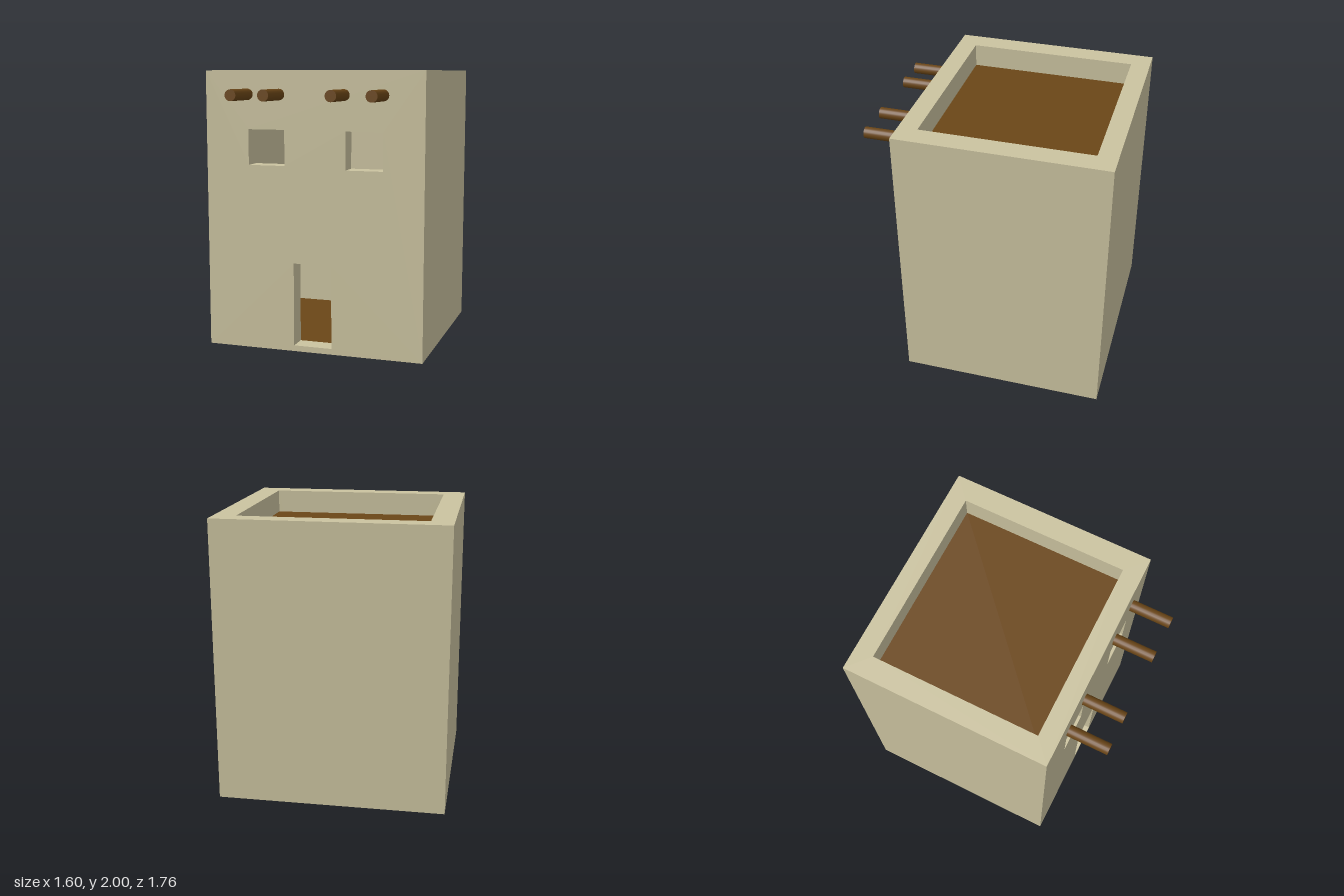
import * as THREE from 'three';
import { mergeGeometries } from 'three/addons/utils/BufferGeometryUtils.js';

const X = 0.8, BACK = -0.88, FRONT = 0.582, TOP = 2; // outer shell
const IX = 0.645, IBACK = -0.744, IFRONT = 0.446; // inner faces of the walls
const FLOOR = 0.04, ROOF = 1.835, SLAB = 0.04;
// openings in the front wall: x0, x1, y0, y1
const DOOR = [-0.142, 0.139, 0.042, 0.642];
const WINDOWS = [[-0.477, -0.206, 1.335, 1.588], [0.242, 0.51, 1.318, 1.585]];
const OPENINGS = [DOOR, ...WINDOWS];

// Box between two corners, keeping only the listed sides; inward turns them to face inside
function boxSides(x0, x1, y0, y1, z0, z1, sides, inward = false) {
  const g = new THREE.BoxGeometry(x1 - x0, y1 - y0, z1 - z0);
  g.translate((x0 + x1) / 2, (y0 + y1) / 2, (z0 + z1) / 2);
  const order = ['+x', '-x', '+y', '-y', '+z', '-z'];
  const all = Array.from(g.index.array);
  const kept = sides.flatMap((s) => all.slice(order.indexOf(s) * 6, order.indexOf(s) * 6 + 6));
  g.clearGroups();
  g.setIndex(inward ? kept.reverse() : kept);
  if (inward) g.attributes.normal.array.forEach((v, i, a) => { a[i] = -v; });
  return g;
}

function rectPoints([x0, x1, y0, y1]) {
  return [[x0, y0], [x1, y0], [x1, y1], [x0, y1]].map((p) => new THREE.Vector2(...p));
}

// Flat rectangle with rectangular holes, facing +z
function panel(outline, holes) {
  const shape = new THREE.Shape(rectPoints(outline));
  shape.holes = holes.map((h) => new THREE.Path(rectPoints(h)));
  return new THREE.ShapeGeometry(shape);
}

export function createModel() {
  const house = new THREE.Group();
  house.name = 'adobeHouse';
  const adobe = new THREE.MeshStandardMaterial({ color: 0xcbc3a0 });
  const wood = new THREE.MeshStandardMaterial({ color: 0x6b4617 });

  const add = (name, geometry, material, parent = house) => {
    const mesh = new THREE.Mesh(geometry, material);
    mesh.name = name;
    parent.add(mesh);
    return mesh;
  };

  // Hollow walls: outer shell, inner faces, pierced front, parapet rim and opening reveals
  const mirrored = OPENINGS.map(([a, b, c, d]) => [-b, -a, c, d]);
  add('walls', mergeGeometries([
    boxSides(-X, X, 0, TOP, BACK, FRONT, ['+x', '-x', '-y', '-z']),
    boxSides(-IX, IX, FLOOR, TOP, IBACK, IFRONT, ['+x', '-x', '-z'], true),
    panel([-X, X, 0, TOP], OPENINGS).translate(0, 0, FRONT),
    panel([-IX, IX, FLOOR, TOP], mirrored).rotateY(Math.PI).translate(0, 0, IFRONT),
    panel([-X, X, -FRONT, -BACK], [[-IX, IX, -IFRONT, -IBACK]])
      .rotateX(-Math.PI / 2).translate(0, TOP, 0),
    ...OPENINGS.map(([x0, x1, y0, y1]) =>
      boxSides(x0, x1, y0, y1, IFRONT, FRONT, ['+x', '-x', '+y', '-y'], true)),
  ]), adobe);

  // Ground floor and sunken roof deck
  add('floor', boxSides(-IX, IX, 0.01, FLOOR, IBACK, IFRONT, ['+y']), wood);
  add('roofDeck', boxSides(-IX, IX, ROOF - SLAB, ROOF, IBACK, IFRONT, ['+y', '-y']), wood);

  // Round beam ends along the front
  const beams = new THREE.Group();
  beams.name = 'roofBeams';
  house.add(beams);
  const z0 = 0.59, z1 = 0.88;
  const beam = new THREE.CylinderGeometry(0.04, 0.04, z1 - z0, 20).rotateX(Math.PI / 2);
  for (const x of [-0.477, -0.24, 0.235, 0.512]) {
    add('roofBeam', beam, wood, beams).position.set(x, 1.833, (z0 + z1) / 2);
  }
  return house;
}
